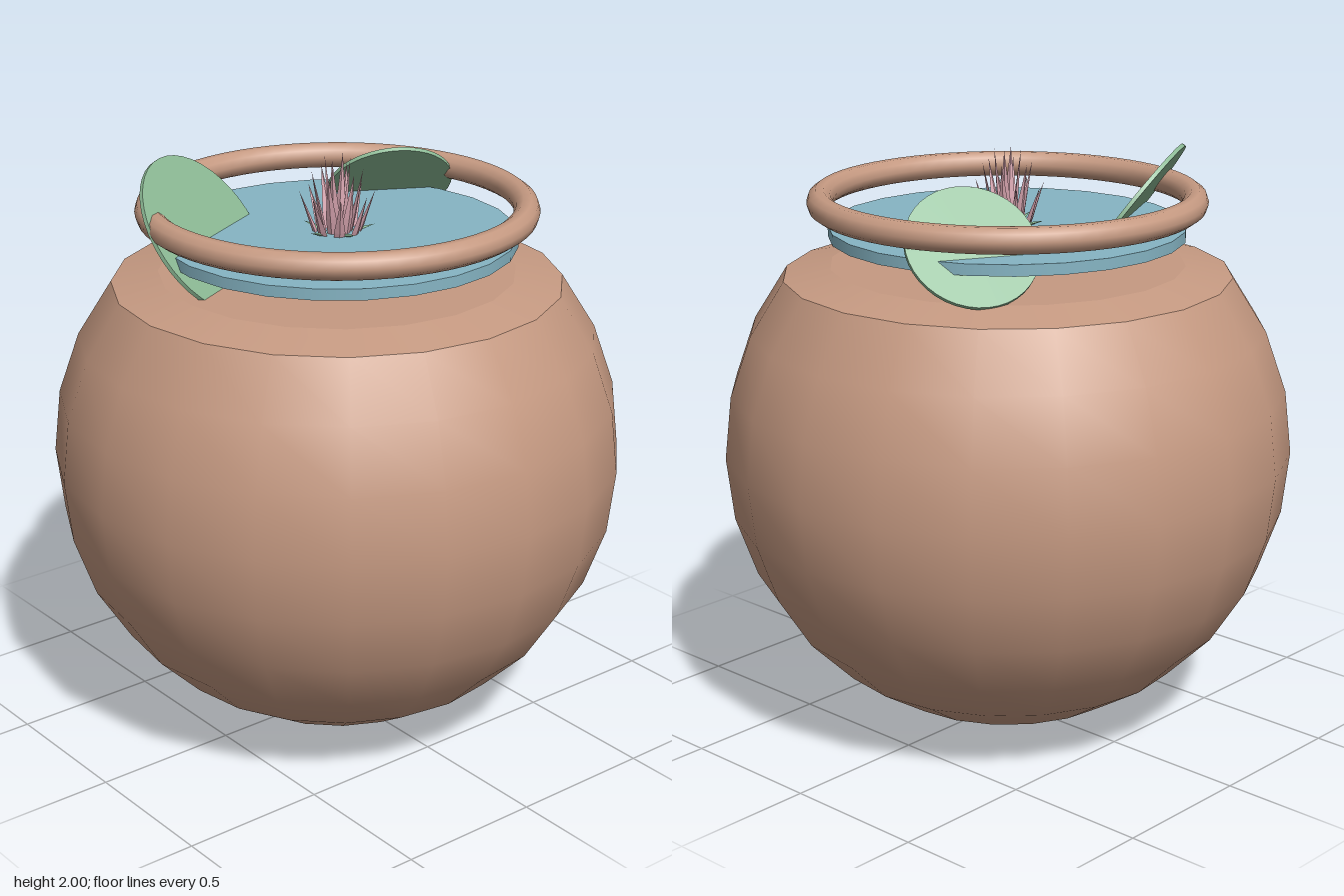
import * as THREE from 'three';

const material = (name, color) => {
  const m = new THREE.MeshStandardMaterial({ color });
  m.name = name;
  return m;
};

export function createModel() {
  const clay = material('clay', 0xc69a82);
  const water = material('water', 0x86b5c4);
  const leaf = material('leaf green', 0x8dbb96);
  const pink = material('petal pink', 0xd8a5b0);

  const root = new THREE.Group();
  root.name = 'waterLilyPot';
  const add = (name, geometry, mat, parent = root) => {
    const mesh = new THREE.Mesh(geometry, mat);
    mesh.name = name;
    parent.add(mesh);
    return mesh;
  };

  // Round pot: a 20-sided ball cut off ten steps up from the bottom
  const R = 0.97, centreY = 0.974;
  const wall = [];
  for (let i = 0; i <= 10; i++) {
    const a = (i / 14) * Math.PI;
    wall.push(new THREE.Vector2(R * Math.sin(a), centreY - R * Math.cos(a)));
  }
  wall[0].set(0, 0);
  add('potBody', new THREE.LatheGeometry(wall, 20), clay);

  // Shallow shoulder and flat closed top
  const edge = wall[wall.length - 1];
  add('potShoulder', new THREE.LatheGeometry([edge.clone(), new THREE.Vector2(0.6, 1.613)], 20), clay);
  const top = add('potTop', new THREE.CircleGeometry(0.6, 20), clay);
  top.rotation.x = -Math.PI / 2;
  top.position.y = 1.613;

  // Rim ring above the water
  const rim = add('rim', new THREE.TorusGeometry(0.627, 0.044, 10, 64), clay);
  rim.rotation.x = Math.PI / 2;
  rim.position.y = 1.828;

  // Water disc
  add('water', new THREE.CylinderGeometry(0.602, 0.602, 0.038, 24), water).position.y = 1.726;

  // Tilted lily pads
  const pads = [
    { name: 'rightLilyPad', r: 0.29, at: [-0.385, 1.755, -0.215], normal: [0.36, 0.59, 0.72] },
    { name: 'leftLilyPad', r: 0.22, at: [0.43, 1.773, -0.245], normal: [0.35, 0.67, -0.65] },
  ];
  const up = new THREE.Vector3(0, 1, 0);
  for (const { name, r, at, normal } of pads) {
    const pad = add(name, new THREE.CylinderGeometry(r, r, 0.014, 40), leaf);
    pad.position.set(...at);
    pad.quaternion.setFromUnitVectors(up, new THREE.Vector3(...normal).normalize());
  }

  // Flower: rings of flattened, pointed petals leaning outwards
  const flower = new THREE.Group();
  flower.name = 'flower';
  flower.position.y = 1.64;
  root.add(flower);

  const ring = (name, mat, { count, length, width, lean, radius, y = 0, turn = 0 }) => {
    const geometry = new THREE.ConeGeometry(width, length, 4, 2).toNonIndexed();
    geometry.translate(0, length / 2, 0).scale(1, 1, 0.4);
    // Narrow the foot so the petal is widest at its middle
    const p = geometry.attributes.position;
    for (let i = 0; i < p.count; i++) {
      const k = p.getY(i) < length * 0.1 ? 0.6 : p.getY(i) < length * 0.7 ? 1.45 : 1;
      p.setX(i, p.getX(i) * k);
      p.setZ(i, p.getZ(i) * k);
    }
    geometry.computeVertexNormals();
    for (let i = 0; i < count; i++) {
      const pivot = new THREE.Group();
      pivot.name = name + 'Pivot';
      pivot.rotation.y = turn + (i / count) * Math.PI * 2;
      flower.add(pivot);
      const petal = add(name, geometry, mat, pivot);
      petal.position.set(0, y, radius);
      petal.rotation.x = lean;
    }
  };
  ring('outerPetal', pink, { count: 8, length: 0.26, width: 0.026, lean: 0.36, radius: 0.035, turn: 0.2 });
  ring('middlePetal', pink, { count: 6, length: 0.31, width: 0.026, lean: 0.2, radius: 0.025, y: 0.01 });
  ring('innerPetal', pink, { count: 4, length: 0.34, width: 0.024, lean: 0.1, radius: 0.012, y: 0.02, turn: 0.5 });

  // Small leaves lying on the water around the flower
  ring('sepal', leaf, { count: 5, length: 0.1, width: 0.02, lean: 1.3, radius: 0.03, y: 0.095, turn: -0.2 });

  return root;
}
